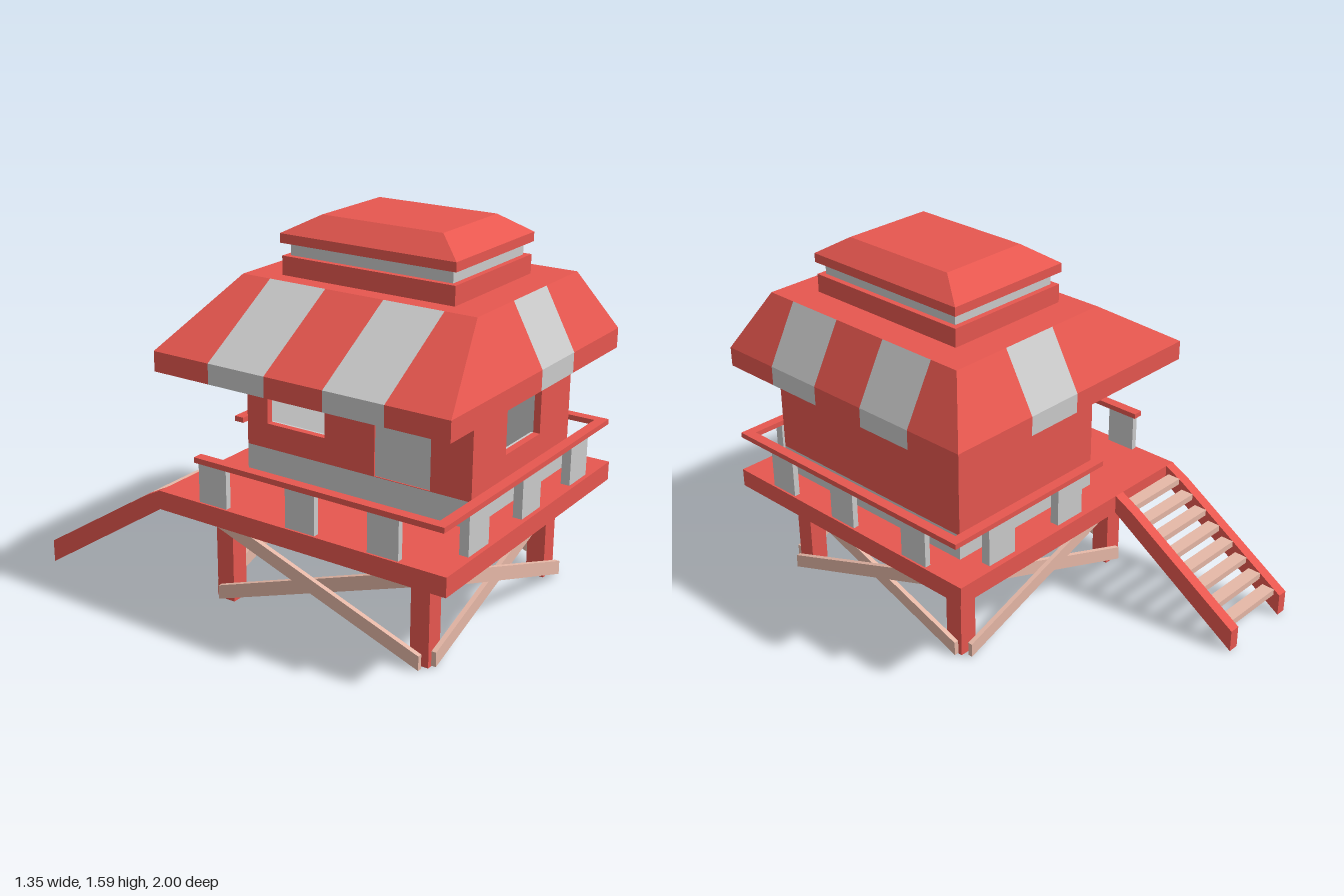
import * as THREE from 'three';

const RED = 0xe7574f, GREY = 0xcccccc, WOOD = 0xe6b8a7;
const mats = {};
const mat = (c) => (mats[c] ??= new THREE.MeshStandardMaterial({ color: c, flatShading: true, side: THREE.DoubleSide }));

export function createModel() {
  const model = new THREE.Group();

  const add = (name, geo, color) => {
    const m = new THREE.Mesh(geo, mat(color));
    m.name = name;
    model.add(m);
    return m;
  };
  // box given by its limits
  const box = (name, color, x0, x1, y0, y1, z0, z1) => {
    const m = add(name, new THREE.BoxGeometry(x1 - x0, y1 - y0, z1 - z0), color);
    m.position.set((x0 + x1) / 2, (y0 + y1) / 2, (z0 + z1) / 2);
    return m;
  };
  const outline = (pts) => pts.map(([a, b]) => new THREE.Vector2(a, b));
  const rect = (a0, a1, b0, b1) => [[a0, b0], [a1, b0], [a1, b1], [a0, b1]];
  // slab drawn in x-y, from z = at to at + depth
  const slabXY = (name, color, pts, at, depth, holes = []) => {
    const s = new THREE.Shape(outline(pts));
    holes.forEach((h) => s.holes.push(new THREE.Path(outline(h))));
    const m = add(name, new THREE.ExtrudeGeometry(s, { depth, bevelEnabled: false }), color);
    m.position.z = at;
    return m;
  };
  // slab drawn in z-y, from x = at to at + depth
  const slabZY = (name, color, pts, at, depth, holes = []) => {
    const m = slabXY(name, color, pts, 0, depth, holes);
    m.rotation.y = -Math.PI / 2;
    m.position.x = at + depth;
    return m;
  };

  // platform
  box('platform', RED, -0.675, 0.675, 0.415, 0.497, -0.36, 1);

  // legs
  for (const x of [-0.475, 0.472])
    for (const z of [-0.152, 0.797])
      box('leg', RED, x - 0.042, x + 0.042, 0, 0.42, z - 0.042, z + 0.042);

  // crossed braces, two layers on each side
  const brace = (a, b, up) => {
    const [p, q] = up ? [0.003, 0.352] : [0.352, 0.003];
    return [[a, p], [b, q], [b, q + 0.062], [a, p + 0.062]];
  };
  for (const [i, up] of [[0, true], [1, false]]) {
    const o = i * 0.021;
    slabXY('frontBrace', WOOD, brace(-0.495, 0.495, up), 0.839 + o, 0.021);
    slabXY('backBrace', WOOD, brace(-0.495, 0.495, up), -0.215 - o, 0.021);
    slabZY('rightSideBrace', WOOD, brace(-0.175, 0.82, up), -0.538 - o, 0.021);
    slabZY('leftSideBrace', WOOD, brace(-0.175, 0.82, up), 0.514 + o, 0.021);
  }

  // ladder
  const stringer = [[-0.36, 0.415], [-0.36, 0.497], [-0.45, 0.45], [-1, 0.1], [-1, 0]];
  slabZY('ladderStringer', RED, stringer, -0.675, 0.047);
  slabZY('ladderStringer', RED, stringer, -0.322, 0.049);
  for (let i = 0; i < 8; i++) {
    const z = -0.94 + i * 0.0764, y = 0.105 + i * 0.0488;
    box('ladderRung', WOOD, -0.63, -0.32, y - 0.014, y + 0.014, z - 0.03, z + 0.03);
  }

  // handrail, open at the ladder corner
  const rail = (x0, x1, z0, z1) => box('handrail', RED, x0, x1, 0.665, 0.688, z0, z1);
  rail(-0.675, 0.675, 0.94, 0.985);
  rail(-0.21, 0.675, -0.335, -0.29);
  rail(0.63, 0.675, -0.29, 0.94);
  rail(-0.675, -0.63, -0.17, 0.94);

  // rail panels
  const panel = (x, z, w, d) => box('railPanel', GREY, x - w / 2, x + w / 2, 0.497, 0.665, z - d / 2, z + d / 2);
  for (const x of [-0.412, 0, 0.412]) {
    panel(x, 0.961, 0.15, 0.04);
    if (x >= 0) panel(x, -0.314, 0.15, 0.04);
  }
  for (const z of [-0.085, 0.342, 0.72])
    for (const x of [-0.653, 0.653]) panel(x, z, 0.026, 0.138);

  // cabin: grey plinth, red cladding and grey lining
  const X0 = -0.272, X1 = 0.533, Z0 = -0.215, Z1 = 0.865, T = 0.03, L = 0.01;
  const frontWindow = rect(-0.01, 0.275, 0.72, 0.905);
  const sideWindow = rect(-0.11, 0.18, 0.72, 0.905);
  const doorway = rect(0.42, 0.68, 0.612, 0.92);
  const wallX = rect(X0, X1, 0.61, 1.34), wallZ = rect(Z0 + T, Z1 - T, 0.61, 1.34);
  slabXY('frontWall', RED, wallX, Z1 - T, T, [frontWindow]);
  slabXY('backWall', RED, wallX, Z0, T);
  slabZY('leftWall', RED, wallZ, X1 - T, T);
  slabZY('rightWall', RED, wallZ, X0, T, [sideWindow, doorway]);
  slabXY('frontLining', GREY, rect(X0 + T, X1 - T, 0.61, 1.34), Z1 - T - L, L, [frontWindow]);
  slabXY('backLining', GREY, rect(X0 + T, X1 - T, 0.497, 1.34), Z0 + T, L);
  slabZY('leftLining', GREY, rect(Z0 + T + L, Z1 - T - L, 0.497, 1.34), X1 - T - L, L);
  slabZY('rightLining', GREY, rect(Z0 + T + L, Z1 - T - L, 0.61, 1.34), X0 + T, L, [sideWindow, doorway]);
  box('door', GREY, X0 + 0.006, X0 + 0.025, 0.497, 0.92, 0.42, 0.68);
  box('frontPlinth', GREY, X0, X1, 0.497, 0.61, Z1 - T, Z1);
  box('backPlinth', GREY, X0, X1, 0.497, 0.61, Z0, Z0 + T);
  box('leftPlinth', GREY, X1 - T, X1, 0.497, 0.61, Z0 + T, Z1 - T);
  box('rightPlinth', GREY, X0, X0 + T, 0.497, 0.61, Z0 + T, Z1 - T);

  // hipped shell: rings are [y, x0, x1, z0, z1] from the eaves up; cuts mark stripe edges
  const hip = (name, rings, cutsX, cutsZ) => {
    const pos = { [RED]: [], [GREY]: [] };
    const quad = (c, a, b, d, e) => pos[c].push(...a, ...b, ...d, ...a, ...d, ...e);
    const sides = [
      [cutsX, (r) => [r[1], r[2]], (r, t) => [t, r[0], r[4]], false],
      [cutsX, (r) => [r[1], r[2]], (r, t) => [t, r[0], r[3]], true],
      [cutsZ, (r) => [r[3], r[4]], (r, t) => [r[2], r[0], t], true],
      [cutsZ, (r) => [r[3], r[4]], (r, t) => [r[1], r[0], t], false],
    ];
    for (const [cuts, ends, at, flip] of sides)
      for (let k = 0; k < rings.length - 1; k++) {
        const [lo, hi] = [rings[k], rings[k + 1]];
        const row = (r) => [ends(r)[0], ...cuts, ends(r)[1]].map((t) => at(r, t));
        const a = row(lo), b = row(hi);
        for (let i = 0; i < a.length - 1; i++) {
          const q = [a[i], a[i + 1], b[i + 1], b[i]];
          if (flip) q.reverse();
          quad(i % 2 ? GREY : RED, ...q);
        }
      }
    const [y, x0, x1, z0, z1] = rings.at(-1);
    quad(RED, [x0, y, z1], [x1, y, z1], [x1, y, z0], [x0, y, z0]);
    for (const c of [RED, GREY]) {
      if (!pos[c].length) continue;
      const g = new THREE.BufferGeometry();
      g.setAttribute('position', new THREE.Float32BufferAttribute(pos[c], 3));
      g.computeVertexNormals();
      add(c === RED ? name : name + 'Stripes', g, c);
    }
  };

  // main roof, hollow beneath
  hip('roof', [
    [1.01, -0.675, 0.675, -0.36, 1],
    [1.095, -0.675, 0.675, -0.36, 1],
    [1.345, -0.275, 0.538, -0.222, 0.865],
  ], [0, 0.268], [-0.085, 0.185, 0.455, 0.725]);

  // lantern on the roof and its cap
  box('lanternBase', RED, -0.2, 0.4, 1.345, 1.425, -0.08, 0.725);
  box('lanternBand', GREY, -0.175, 0.375, 1.425, 1.478, -0.055, 0.7);
  box('capUnderside', RED, -0.2, 0.4, 1.478, 1.49, -0.08, 0.725);
  hip('lanternCap', [
    [1.478, -0.206, 0.405, -0.086, 0.73],
    [1.517, -0.206, 0.405, -0.086, 0.73],
    [1.592, -0.105, 0.31, 0.05, 0.61],
  ], [], []);

  return model;
}
